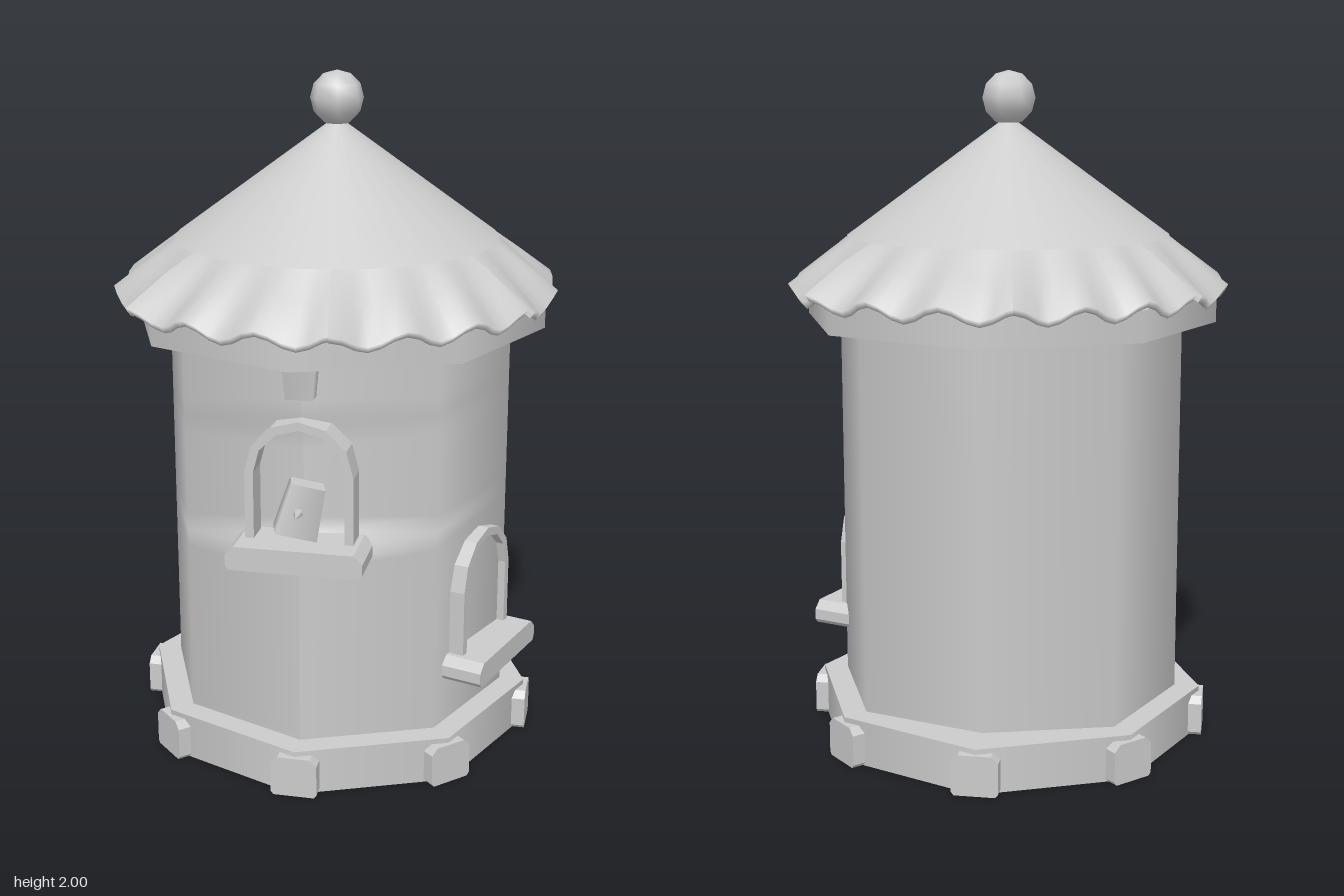
import * as THREE from 'three';

const material = new THREE.MeshStandardMaterial({ color: 0xcccccc });
const clothMaterial = new THREE.MeshStandardMaterial({ color: 0xcccccc, side: THREE.DoubleSide });

function add(parent, name, geometry, x = 0, y = 0, z = 0, mat = material) {
  const mesh = new THREE.Mesh(geometry, mat);
  mesh.name = name;
  mesh.position.set(x, y, z);
  parent.add(mesh);
  return mesh;
}

// Upright block with chamfered corners, centred in x and z, standing on y = 0
function chamferedBlock(w, h, d, c) {
  const x = w / 2;
  const shape = new THREE.Shape([
    [-x + c * 0.4, 0], [x - c * 0.4, 0], [x, c * 0.5], [x, h - c], [x - c, h], [-x + c, h], [-x, h - c], [-x, c * 0.5],
  ].map(([px, py]) => new THREE.Vector2(px, py)));
  return new THREE.ExtrudeGeometry(shape, { depth: d, bevelEnabled: false }).translate(0, 0, -d / 2);
}

// Outline of an arch: straight jambs and a half-round head
function archPoints(halfWidth, height, segments) {
  const points = [new THREE.Vector2(halfWidth, 0)];
  const spring = height - halfWidth;
  for (let i = 0; i <= segments; i++) {
    const a = (i / segments) * Math.PI;
    points.push(new THREE.Vector2(halfWidth * Math.cos(a), spring + halfWidth * Math.sin(a)));
  }
  points.push(new THREE.Vector2(-halfWidth, 0));
  return points;
}

// Arched frame with a perch sill, facing outward at the given angle
function opening(name, angle, y) {
  const group = new THREE.Group();
  group.name = name;
  const outer = archPoints(0.155, 0.36, 6);
  const inner = archPoints(0.13, 0.335, 6).reverse();
  const frame = new THREE.ExtrudeGeometry(new THREE.Shape([...outer, ...inner]), { depth: 0.08, bevelEnabled: false });
  add(group, 'archFrame', frame, 0, 0.06, 0.435);
  add(group, 'sill', chamferedBlock(0.39, 0.07, 0.165, 0.025), 0, 0, 0.508);
  group.position.y = y;
  group.rotation.y = angle;
  return group;
}

// Eight-sided wall: the front corner is pressed in behind the window, the back leans out
function wallGeometry() {
  const geometry = new THREE.CylinderGeometry(0.52, 0.52, 1.2, 8, 24).translate(0, 0.7, 0);
  const p = geometry.attributes.position;
  for (let i = 0; i < p.count; i++) {
    if (Math.abs(p.getX(i)) > 0.01 || Math.abs(p.getZ(i)) < 0.1) continue;
    const y = p.getY(i);
    if (p.getZ(i) < 0) p.setZ(i, -0.47 - 0.035 * y);
    else if (y > 0.7) p.setZ(i, y > 1.1 ? 0.47 : 0.45);
  }
  geometry.computeVertexNormals();
  return geometry;
}

// One cloth panel of the skirt: three pleats, its starting edge lifted over its neighbour
function skirtPanel(start, end) {
  const steps = 18, rows = 5;
  const positions = [], indices = [];
  for (let i = 0; i <= steps; i++) {
    const t = i / steps;
    const a = start + (end - start) * t;
    const ripple = Math.cos(t * Math.PI * 6);
    const lift = Math.max(0, 1 - t * 6);
    const r = 0.648 + 0.008 * ripple + 0.03 * lift + 0.015 * Math.cos(a) ** 2;
    const y = 1.37 + 0.02 * ripple;
    const section = [
      [0.47, 1.525],
      [0.56 + 0.01 * lift, 1.45 + 0.012 * ripple + 0.01 * lift],
      [r, y],
      [r - 0.012, y - 0.018],
      [0.46, 1.5],
    ];
    for (const [radius, h] of section) positions.push(radius * Math.sin(a), h, radius * Math.cos(a));
  }
  for (let i = 0; i < steps; i++) {
    for (let j = 0; j < rows - 1; j++) {
      const a = i * rows + j, b = a + rows;
      indices.push(a, a + 1, b, b, a + 1, b + 1);
    }
  }
  const geometry = new THREE.BufferGeometry();
  geometry.setAttribute('position', new THREE.Float32BufferAttribute(positions, 3));
  geometry.setIndex(indices);
  geometry.computeVertexNormals();
  return geometry;
}

export function createModel() {
  const model = new THREE.Group();
  model.name = 'birdhouse';

  // Octagonal base with a stone on every corner
  add(model, 'base', new THREE.CylinderGeometry(0.595, 0.595, 0.135, 8), 0, 0.0675, 0);
  for (let i = 0; i < 8; i++) {
    const a = (i / 8) * Math.PI * 2;
    const stone = add(model, 'baseStone', chamferedBlock(0.135, 0.12, 0.1, 0.02), 0.557 * Math.sin(a), 0, 0.557 * Math.cos(a));
    stone.rotation.y = a;
  }

  add(model, 'wall', wallGeometry());

  // Front window and side door share one design
  const frontWindow = opening('frontWindow', 0, 0.68);
  model.add(frontWindow);
  model.add(opening('sideDoor', Math.PI * 0.4, 0.275));

  // Small bird perched on the front sill
  const bird = new THREE.Group();
  bird.name = 'bird';
  const birdBody = new THREE.CylinderGeometry(0.068, 0.085, 0.15, 4).rotateY(Math.PI / 4).scale(1, 1, 0.65);
  add(bird, 'birdBody', birdBody).rotation.set(0, 0.3, -0.25);
  add(bird, 'beak', new THREE.ConeGeometry(0.014, 0.045, 5).rotateX(Math.PI / 2), 0, 0, 0.06);
  bird.position.set(0.005, 0.165, 0.505);
  frontWindow.add(bird);

  // Tapered bracket over the window
  const bracket = new THREE.CylinderGeometry(0.068, 0.055, 0.11, 4).rotateY(Math.PI / 4).scale(1, 1, 0.6);
  add(model, 'bracket', bracket, 0, 1.215, 0.485);

  // Octagonal eaves rim and cone roof
  add(model, 'eavesRim', new THREE.CylinderGeometry(0.62, 0.62, 0.09, 8), 0, 1.315, 0);
  add(model, 'roofCone', new THREE.ConeGeometry(0.48, 0.35, 32, 1, true), 0, 1.695, 0, clothMaterial);

  // Skirt of six overlapping cloth panels
  const edges = [10, 63, 135, 190, 239, 315, 370].map(THREE.MathUtils.degToRad);
  for (let i = 0; i < 6; i++) {
    add(model, 'skirtPanel', skirtPanel(edges[i], edges[i + 1] + 0.03), 0, 0, 0, clothMaterial);
  }

  // Rough ball on the peak
  add(model, 'finial', new THREE.SphereGeometry(0.08, 7, 6), 0, 1.92, 0);

  return model;
}
